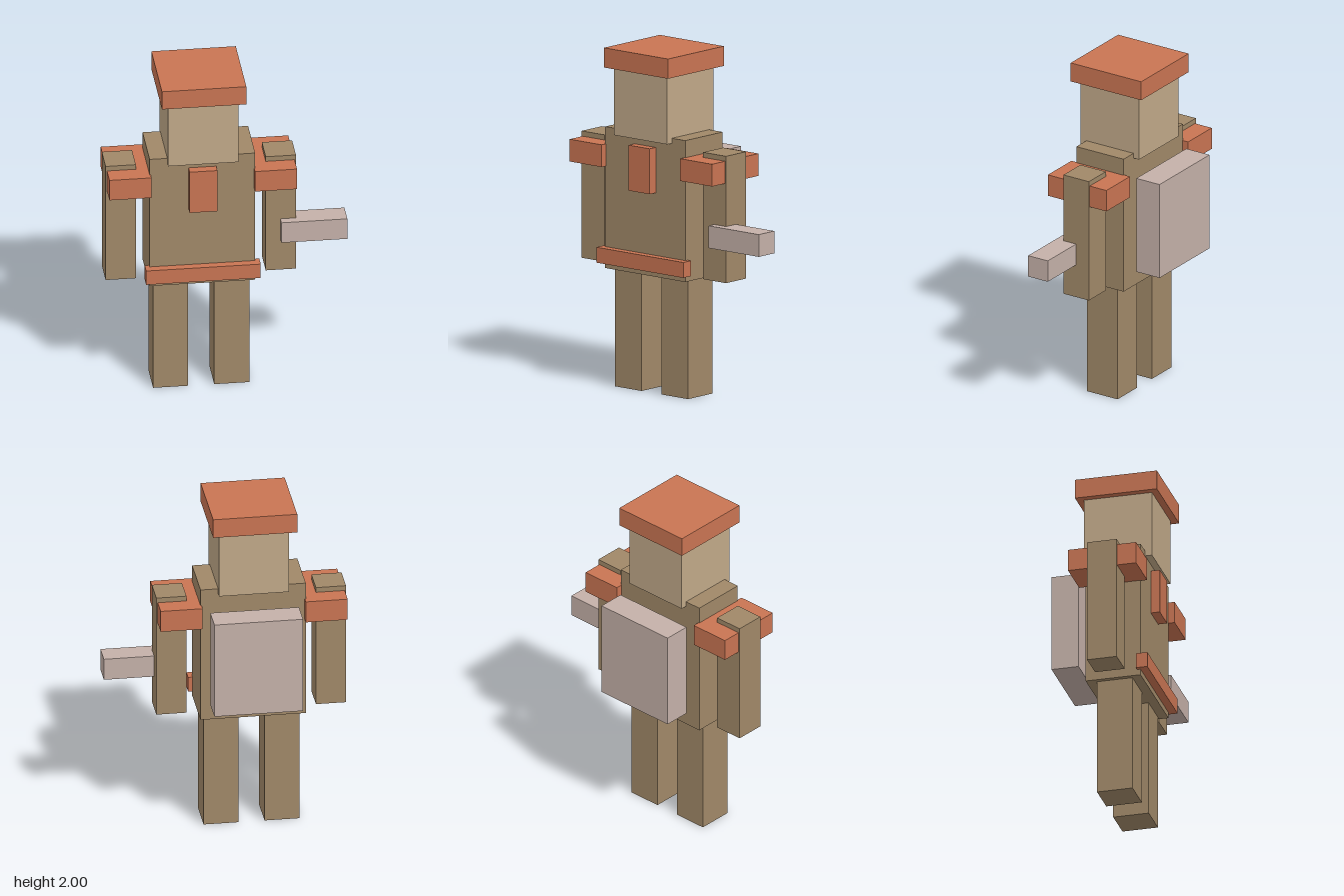
import * as THREE from 'three';

const CENTRE_X = -0.148; // the figure's own mid-plane

const material = (color) => new THREE.MeshStandardMaterial({ color, flatShading: true });

export function createModel() {
  const model = new THREE.Group();
  model.name = 'blockFigure';

  const cloth = material(0xa08868);
  const skin = material(0xc0a888);
  const trim = material(0xc87452);
  const gear = material(0xc4b0a8);

  // Box given by its extents [min, max] on each axis; x is relative to the figure's mid-plane
  function block(name, mat, [x0, x1], [y0, y1], [z0, z1]) {
    const mesh = new THREE.Mesh(new THREE.BoxGeometry(x1 - x0, y1 - y0, z1 - z0), mat);
    mesh.position.set(CENTRE_X + (x0 + x1) / 2, (y0 + y1) / 2, (z0 + z1) / 2);
    mesh.name = name;
    model.add(mesh);
  }

  // Same, mirrored to both sides
  function pair(name, mat, [x0, x1], y, z) {
    block('left' + name, mat, [x0, x1], y, z);
    block('right' + name, mat, [-x1, -x0], y, z);
  }

  // Body
  block('torso', cloth, [-0.304, 0.304], [0.695, 1.52], [-0.095, 0.23]);
  block('head', skin, [-0.202, 0.202], [1.49, 1.89], [-0.133, 0.27]);
  pair('Leg', cloth, [0.075, 0.277], [0, 0.7], [-0.035, 0.175]);
  pair('Arm', cloth, [0.374, 0.548], [0.71, 1.45], [-0.02, 0.155]);

  // Hat, shoulder pads, chest patch and belt
  block('hat', trim, [-0.243, 0.243], [1.885, 2], [-0.175, 0.31]);
  pair('ShoulderPad', trim, [0.298, 0.54], [1.29, 1.42], [-0.135, 0.268]);
  block('chestPatch', trim, [-0.08, 0.08], [1.185, 1.45], [0.215, 0.283]);
  block('belt', trim, [-0.33, 0.33], [0.73, 0.82], [0.21, 0.277]);

  // Backpack and the tool held at the left hand
  block('backpack', gear, [-0.256, 0.256], [0.815, 1.397], [-0.31, -0.15]);
  block('heldTool', gear, [0.458, 0.838], [0.91, 1.04], [0.068, 0.203]);

  return model;
}
